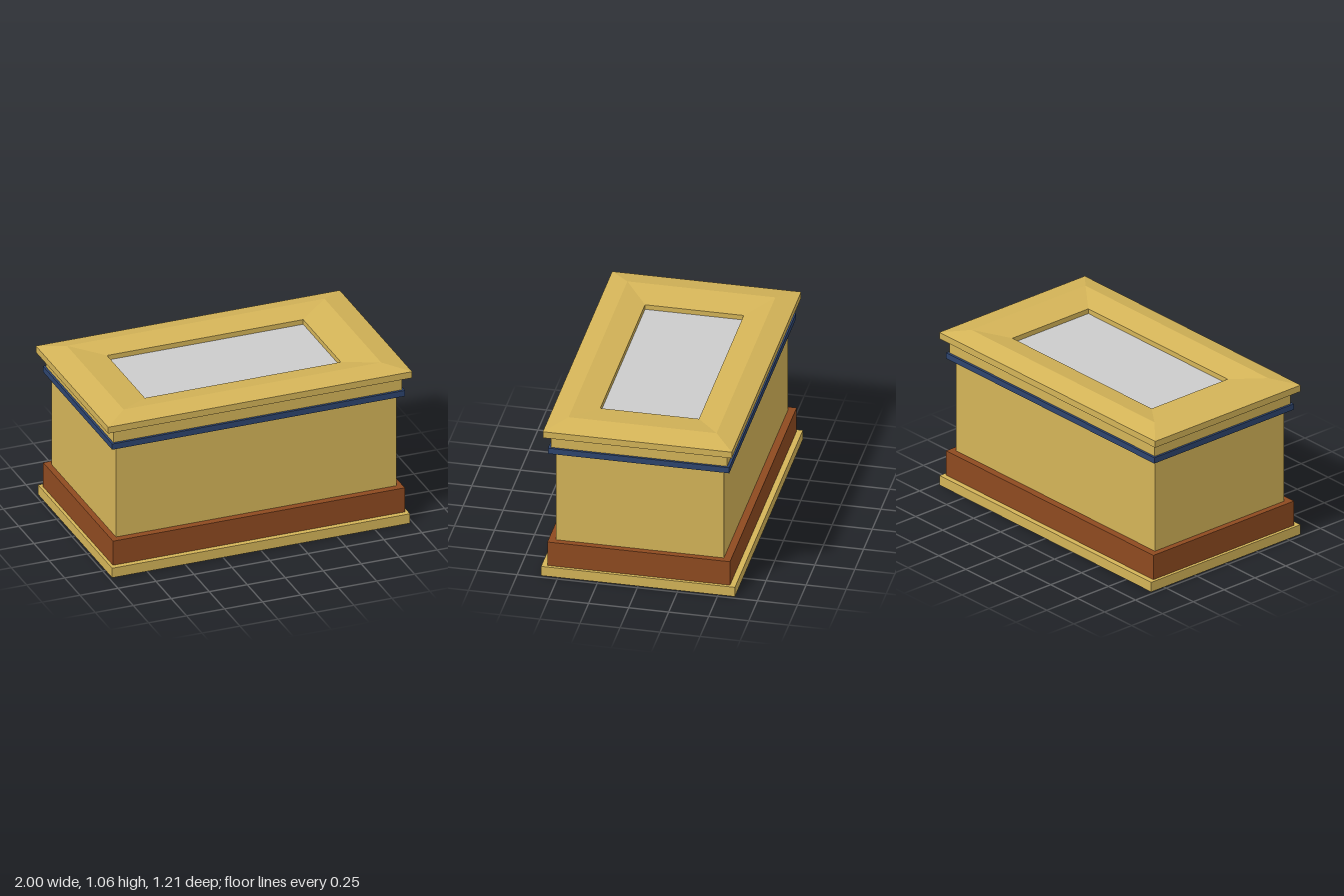
import * as THREE from 'three';

const GOLD = 0xd4b458, BROWN = 0x8e4a20, BLUE = 0x2d446e, GREY = 0xcccccc;

function addMesh(group, name, geometry, color) {
  const material = new THREE.MeshStandardMaterial({ color, flatShading: true });
  const mesh = new THREE.Mesh(geometry, material);
  mesh.name = name;
  group.add(mesh);
  return mesh;
}

// Rectangular block given by half width, half depth, bottom and top
function addBlock(group, name, hx, hz, y0, y1, color) {
  const mesh = addMesh(group, name, new THREE.BoxGeometry(hx * 2, y1 - y0, hz * 2), color);
  mesh.position.y = (y0 + y1) / 2;
}

// Skin through rectangular loops [halfX, halfZ, y], ordered from the underside outward and over the top
function rectangularLoft(loops) {
  const signs = [[1, 1], [1, -1], [-1, -1], [-1, 1]];
  const positions = [], indices = [];
  for (const [hx, hz, y] of loops) {
    for (const [sx, sz] of signs) positions.push(sx * hx, y, sz * hz);
  }
  for (let i = 0; i < loops.length - 1; i++) {
    for (let j = 0; j < 4; j++) {
      const a = i * 4 + j, b = i * 4 + (j + 1) % 4;
      indices.push(a, b, b + 4, a, b + 4, a + 4);
    }
  }
  const indexed = new THREE.BufferGeometry();
  indexed.setAttribute('position', new THREE.Float32BufferAttribute(positions, 3));
  indexed.setIndex(indices);
  const geometry = indexed.toNonIndexed();
  geometry.computeVertexNormals();
  return geometry;
}

export function createModel() {
  const model = new THREE.Group();
  model.name = 'chest';

  // Stepped body, from the ground up
  addBlock(model, 'basePlinth', 0.98, 0.605, 0, 0.065, GOLD);
  addBlock(model, 'lowerBand', 0.96, 0.57, 0.065, 0.23, BROWN);
  addBlock(model, 'body', 0.922, 0.524, 0.23, 0.855, GOLD);
  addBlock(model, 'upperBand', 0.964, 0.566, 0.855, 0.894, BLUE);
  addBlock(model, 'neck', 0.95, 0.55, 0.894, 0.984, GOLD);

  // Lid frame: overhanging edge, raised ridge, slope and wall down to the opening
  addMesh(model, 'lidFrame', rectangularLoft([
    [0.645, 0.308, 0.984],
    [1.0, 0.59, 0.984],
    [1.0, 0.59, 1.027],
    [0.847, 0.462, 1.059],
    [0.645, 0.308, 1.027],
    [0.645, 0.308, 0.984],
  ]), GOLD);

  // Flat panel sunk in the opening
  addBlock(model, 'topPanel', 0.645, 0.308, 0.984, 0.995, GREY);

  return model;
}
